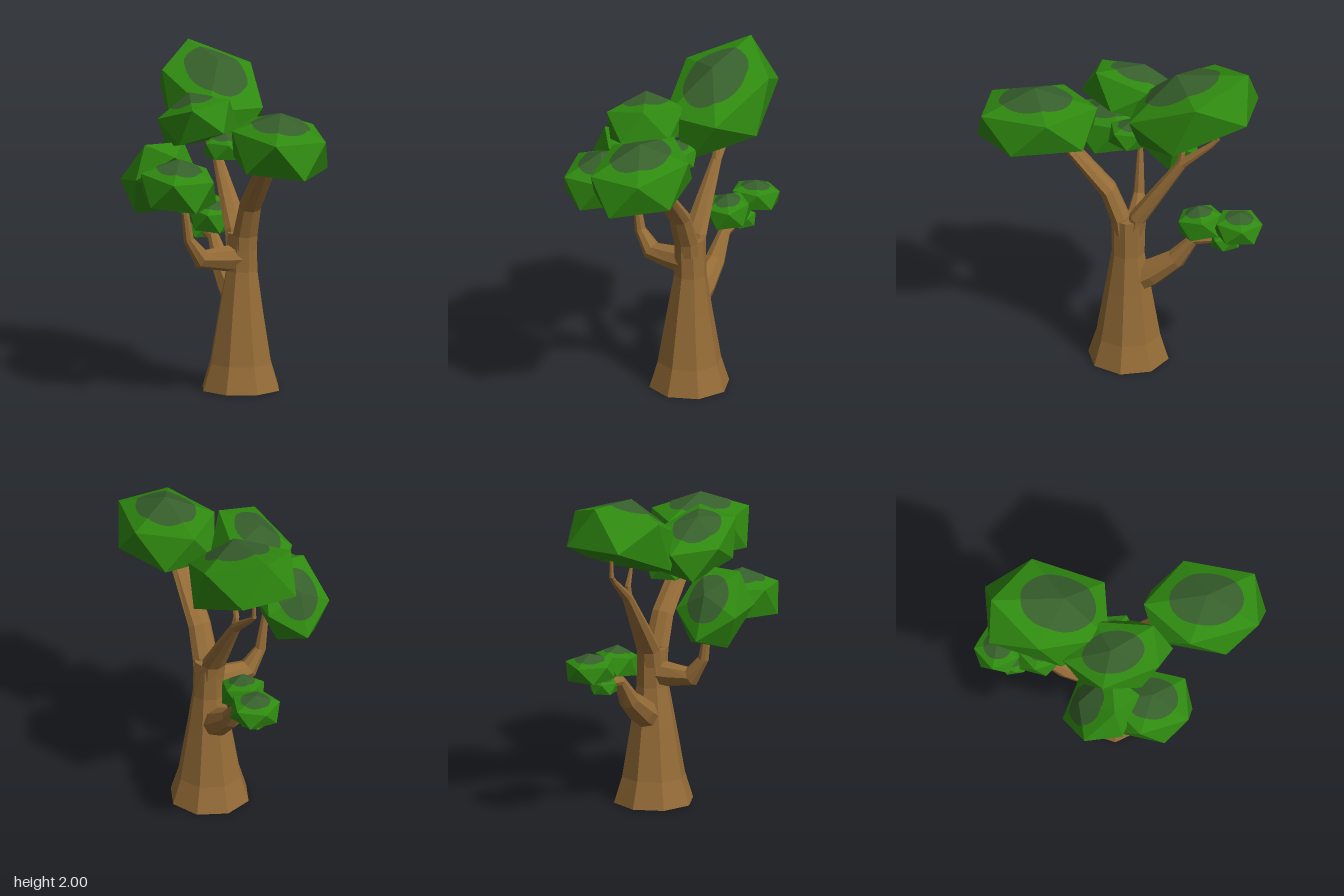
import * as THREE from 'three';

const bark = new THREE.MeshStandardMaterial({ name: 'bark brown', color: 0x956c37 });
const leaf = new THREE.MeshStandardMaterial({ name: 'leaf green', color: 0x2f8a10 });
const shade = new THREE.MeshStandardMaterial({ name: 'mossy green', color: 0x37602c });
for (const m of [bark, leaf, shade]) m.flatShading = true;

// Flat-shaded mesh from a list of corner triples
function facetMesh(name, corners, material) {
  const g = new THREE.BufferGeometry().setFromPoints(corners);
  g.computeVertexNormals();
  const mesh = new THREE.Mesh(g, material);
  mesh.name = name;
  return mesh;
}

// Tapered limb: points are [x, y, z, radius, depthRadius?]; side is the width direction
function limb(name, points, sides, side) {
  const centres = points.map(p => new THREE.Vector3(p[0], p[1], p[2]));
  const last = points.length - 1;
  const rings = points.map((p, i) => {
    const t = centres[Math.min(i + 1, last)].clone().sub(centres[Math.max(i - 1, 0)]).normalize();
    const u = side.clone().addScaledVector(t, -side.dot(t)).normalize();
    const v = t.clone().cross(u);
    return Array.from({ length: sides }, (_, k) => {
      const a = (k / sides) * Math.PI * 2;
      return centres[i].clone()
        .addScaledVector(u, Math.cos(a) * p[3])
        .addScaledVector(v, Math.sin(a) * (p[4] ?? p[3]));
    });
  });
  const tri = [];
  for (let k = 0; k < sides; k++) {
    const n = (k + 1) % sides;
    for (let i = 0; i < last; i++) {
      const a = rings[i][k], b = rings[i][n], c = rings[i + 1][n], d = rings[i + 1][k];
      tri.push(a, b, c, a, c, d);
    }
    tri.push(centres[0], rings[0][n], rings[0][k]);
    tri.push(centres[last], rings[last][k], rings[last][n]);
  }
  return facetMesh(name, tri, bark);
}

const polar = (r, a, y) => new THREE.Vector3(Math.sin(a) * r, y, Math.cos(a) * r);

// Leaf clump: twenty-sided, flattened underneath, with a round dark patch on top
function clump(name, centre, radii, rotation) {
  const group = new THREE.Group();
  group.name = name;
  const step = Math.PI * 0.4;
  const apex = new THREE.Vector3(0, 1, 0), base = new THREE.Vector3(0, -0.68, 0);
  const up = k => polar(1, Math.PI + k * step, 0.45);
  const low = k => polar(1, Math.PI + (k + 0.5) * step, -0.55);
  const tri = [], patch = [];
  // Height of the patch rim follows the sloping top faces
  const rim = (k, f) => {
    const r = 0.6, a = (f - 0.5) * step;
    const y = 1 - 0.55 * r * Math.cos(a) / Math.cos(step / 2);
    return polar(r, Math.PI + (k + f) * step, y + 0.018);
  };
  for (let k = 0; k < 5; k++) {
    tri.push(apex, up(k), up(k + 1));
    tri.push(up(k), low(k), up(k + 1));
    tri.push(low(k), low(k + 1), up(k + 1));
    tri.push(base, low(k + 1), low(k));
    for (let j = 0; j < 6; j++) {
      patch.push(new THREE.Vector3(0, 1.018, 0), rim(k, j / 6), rim(k, (j + 1) / 6));
    }
  }
  group.add(facetMesh('leaves', tri, leaf), facetMesh('topPatch', patch, shade));
  group.position.set(...centre);
  group.scale.set(...radii);
  group.rotation.set(...rotation);
  return group;
}

export function createModel() {
  const tree = new THREE.Group();
  tree.name = 'tree';
  const X = new THREE.Vector3(1, 0, 0), Z = new THREE.Vector3(0, 0, 1);

  // Trunk and limbs
  tree.add(
    limb('trunk', [
      [0.218, 0, -0.06, 0.245], [0.218, 0.16, -0.06, 0.195], [0.22, 0.48, -0.06, 0.14],
      [0.225, 0.72, -0.06, 0.1], [0.225, 0.95, -0.06, 0.088, 0.105],
    ], 8, X),
    limb('frontBranch', [
      [0.225, 0.86, -0.02, 0.08, 0.06], [0.225, 0.95, -0.01, 0.082, 0.06],
      [0.225, 1.13, 0.06, 0.074, 0.054], [0.222, 1.43, 0.32, 0.068, 0.032], [0.222, 1.52, 0.4, 0.04, 0.02],
    ], 8, X),
    limb('backBranch', [
      [0.22, 0.86, -0.1, 0.08, 0.06], [0.22, 0.96, -0.12, 0.08, 0.055], [0.215, 1.13, -0.235, 0.06, 0.045],
      [0.21, 1.35, -0.385, 0.032], [0.2, 1.49, -0.56, 0.018], [0.195, 1.53, -0.598, 0.015], [0.195, 1.66, -0.6, 0.01],
    ], 8, X),
    limb('backTwig', [
      [0.21, 1.32, -0.37, 0.03], [0.205, 1.42, -0.385, 0.02], [0.2, 1.54, -0.35, 0.01],
    ], 6, X),
    limb('lowBackBranch', [
      [0.22, 0.52, -0.08, 0.09], [0.22, 0.59, -0.2, 0.085], [0.22, 0.7, -0.35, 0.062],
      [0.22, 0.845, -0.46, 0.036], [0.22, 0.868, -0.64, 0.02], [0.22, 0.9, -0.69, 0.014],
    ], 8, X),
    limb('sideBranch', [
      [0.2, 0.8, -0.055, 0.085], [0.1, 0.8, -0.055, 0.075], [-0.045, 0.81, -0.055, 0.06],
      [-0.125, 0.93, -0.055, 0.034], [-0.16, 1.17, -0.055, 0.02], [-0.165, 1.25, -0.055, 0.012],
    ], 8, Z),
  );

  // Foliage
  tree.add(
    clump('frontClump', [0.225, 1.565, 0.495], [0.28, 0.21, 0.375], [0.07, 0, 0]),
    clump('backClump', [0.2, 1.73, -0.45], [0.305, 0.24, 0.42], [0.42, 0, 0]),
    clump('middleClump', [-0.07, 1.65, -0.05], [0.215, 0.18, 0.32], [-0.25, 0, 0.2]),
    clump('innerClump', [0.12, 1.47, -0.06], [0.13, 0.09, 0.14], [0, 0.3, 0]),
    clump('sideFrontClump', [-0.275, 1.3, 0.13], [0.225, 0.17, 0.265], [0.1, 0, 0]),
    clump('sideBackClump', [-0.27, 1.31, -0.17], [0.215, 0.16, 0.27], [-0.9, 0, 0]),
    clump('lowInnerClump', [0.22, 0.965, -0.5], [0.13, 0.11, 0.14], [0.15, 0, 0]),
    clump('lowOuterClump', [0.26, 0.985, -0.74], [0.15, 0.095, 0.145], [-0.08, 0, 0]),
    clump('lowSmallClump', [0.22, 0.86, -0.65], [0.085, 0.06, 0.09], [0, 0.4, 0]),
  );
  return tree;
}
